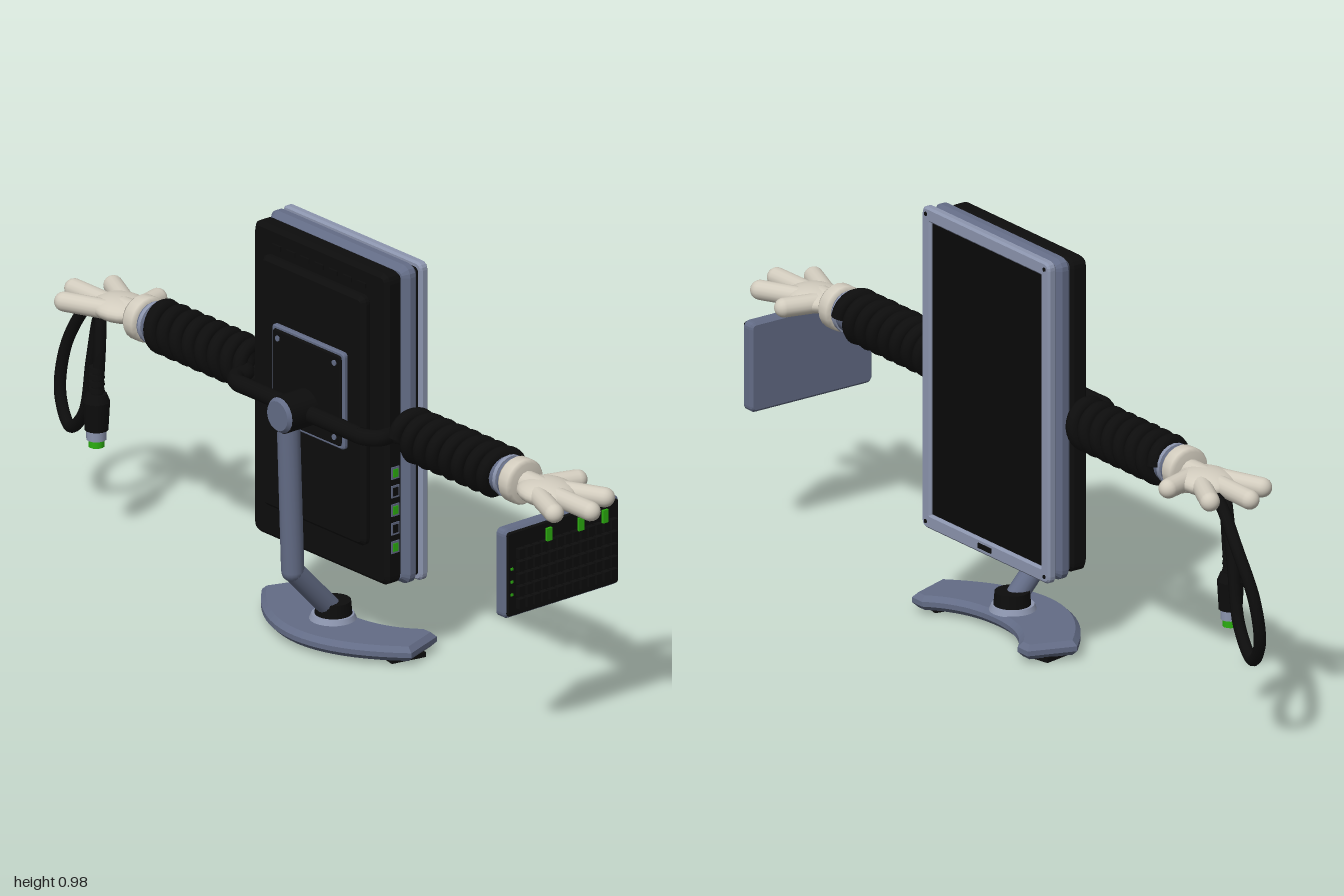
import * as THREE from 'three';

const mat = (name, color) => Object.assign(new THREE.MeshStandardMaterial({ color }), { name });
const V = (x, y, z) => new THREE.Vector3(x, y, z);

export function createModel() {
  const black = mat('black plastic', 0x0d0d0d);
  const screenBlack = mat('screen black', 0x090909);
  const grey = mat('blue grey', 0x636c86);
  const light = mat('light blue grey', 0x8c95ae);
  const white = mat('glove white', 0xd2ccbe);
  const green = mat('green', 0x2cb010);

  const root = new THREE.Group();
  root.name = 'monitorWithArms';
  const centre = new THREE.Group();
  centre.name = 'monitorStandAndArms';
  centre.position.x = 0.055;
  root.add(centre);

  const add = (parent, name, geo, material, x = 0, y = 0, z = 0) => {
    const m = new THREE.Mesh(geo, material);
    m.name = name;
    m.position.set(x, y, z);
    parent.add(m);
    return m;
  };
  const box = (w, h, d) => new THREE.BoxGeometry(w, h, d);
  const rounded = (w, h, r, P = THREE.Shape) => {
    const s = new P(), a = w / 2, b = h / 2;
    s.moveTo(-a + r, -b).lineTo(a - r, -b).quadraticCurveTo(a, -b, a, -b + r);
    s.lineTo(a, b - r).quadraticCurveTo(a, b, a - r, b);
    s.lineTo(-a + r, b).quadraticCurveTo(-a, b, -a, b - r);
    s.lineTo(-a, -b + r).quadraticCurveTo(-a, -b, -a + r, -b);
    return s;
  };
  // rounded plate in the xy plane between z0 and z1, with chamfered rims
  const slab = (w, h, r, z0, z1, b, hole) => {
    const s = rounded(w - 2 * b, h - 2 * b, r);
    if (hole) s.holes.push(rounded(hole[0], hole[1], 0.004, THREE.Path));
    return new THREE.ExtrudeGeometry(s, {
      depth: z1 - z0 - 2 * b, bevelEnabled: b > 0, bevelSize: b, bevelThickness: b,
      bevelSegments: 1, curveSegments: 4,
    }).translate(0, 0, z0 + b);
  };
  // capsule or cylinder running from a to b
  const limb = (parent, name, a, b, r, material, capped = true) => {
    const len = a.distanceTo(b);
    const geo = capped ? new THREE.CapsuleGeometry(r, len, 6, 16) : new THREE.CylinderGeometry(r, r, len, 20);
    const m = add(parent, name, geo, material);
    m.position.copy(a).lerp(b, 0.5);
    m.quaternion.setFromUnitVectors(V(0, 1, 0), b.clone().sub(a).normalize());
    return m;
  };
  const tube = (pts, r, n = 60) =>
    new THREE.TubeGeometry(new THREE.CatmullRomCurve3(pts), n, r, 10);

  // Monitor housing; the screen looks towards -z
  const monitor = new THREE.Group();
  monitor.name = 'monitor';
  monitor.position.y = 0.588;
  centre.add(monitor);
  add(monitor, 'backShell', slab(0.475, 0.772, 0.014, -0.01, 0.04, 0.01), black);
  add(monitor, 'middleRim', slab(0.492, 0.79, 0.014, -0.054, -0.01, 0.014), grey);
  add(monitor, 'rimGap', slab(0.47, 0.765, 0.014, -0.06, -0.052, 0), black);
  add(monitor, 'screenBezel', slab(0.492, 0.79, 0.014, -0.08, -0.057, 0.005, [0.436, 0.728]), light);
  add(monitor, 'screen', box(0.45, 0.74, 0.008), screenBlack, 0, 0, -0.068);
  add(monitor, 'bezelBadge', box(0.05, 0.012, 0.004), black, 0, -0.376, -0.081);
  for (const sx of [-1, 1]) for (const sy of [-1, 1]) {
    const s = add(monitor, 'bezelScrew', new THREE.CylinderGeometry(0.005, 0.005, 0.004, 10), black, sx * 0.229, sy * 0.378, -0.08);
    s.rotation.x = Math.PI / 2;
  }
  add(monitor, 'raisedBack', slab(0.365, 0.62, 0.01, 0.035, 0.065, 0.01), black, 0, 0.012, 0);
  for (let i = 0; i < 7; i++)
    add(monitor, 'ventRib', box(0.03, 0.012, 0.006), black, -0.15 + i * 0.05, 0.342, 0.041);

  // Mounting plate with its pale border and screws
  add(monitor, 'mountBorder', slab(0.256, 0.24, 0.008, 0.06, 0.076, 0.003), grey, 0, 0.05, 0);
  add(monitor, 'mountPlate', slab(0.24, 0.224, 0.006, 0.07, 0.081, 0.003), black, 0, 0.05, 0);
  for (const sx of [-1, 1]) for (const sy of [-1, 1]) {
    const s = add(monitor, 'mountScrew', new THREE.CylinderGeometry(0.007, 0.007, 0.006, 10), grey, sx * 0.1, 0.05 + sy * 0.092, 0.081);
    s.rotation.x = Math.PI / 2;
  }

  // Side sockets
  for (let i = 0; i < 5; i++) {
    const y = -0.29 + i * 0.046;
    add(monitor, 'socketFrame', box(0.008, 0.03, 0.024), grey, 0.236, y, 0.016);
    add(monitor, 'socket', box(0.006, 0.02, 0.014), i % 2 ? black : green, 0.239, y, 0.016);
  }

  // Pivot and stand column
  const hub = add(centre, 'pivotHub', new THREE.CylinderGeometry(0.045, 0.045, 0.08, 20), black, 0, 0.59, 0.12);
  hub.rotation.x = Math.PI / 2;
  const cap = add(centre, 'pivotCap', new THREE.CylinderGeometry(0.036, 0.044, 0.01, 20), grey, 0, 0.59, 0.164);
  cap.rotation.x = Math.PI / 2;
  const bend = V(0, 0.195, 0.122);
  limb(centre, 'upperColumn', V(0, 0.56, 0.135), bend, 0.027, grey);
  limb(centre, 'lowerColumn', bend, V(0, 0.065, 0.0), 0.026, grey);
  add(centre, 'baseCollar', new THREE.CylinderGeometry(0.041, 0.044, 0.034, 24), black, 0, 0.073, -0.002);
  add(centre, 'baseRing', new THREE.CylinderGeometry(0.05, 0.056, 0.014, 24), light, 0, 0.051, 0);

  // Crescent base; its plan is drawn as (x, -z) and laid flat
  const plan = new THREE.Shape();
  plan.moveTo(-0.215, 0.112).lineTo(-0.25, 0.015);
  plan.quadraticCurveTo(-0.13, -0.108, 0, -0.109).quadraticCurveTo(0.13, -0.108, 0.25, 0.015);
  plan.lineTo(0.215, 0.112).lineTo(0.19, 0.112);
  plan.quadraticCurveTo(0.12, 0.04, 0, 0.04).quadraticCurveTo(-0.12, 0.04, -0.19, 0.112);
  add(centre, 'base', new THREE.ExtrudeGeometry(plan, {
    depth: 0.012, bevelSize: 0.012, bevelThickness: 0.012, bevelSegments: 1, curveSegments: 10,
  }).rotateX(-Math.PI / 2), grey, 0, 0.022, 0);
  for (const s of [-1, 1]) {
    const foot = add(centre, 'baseFoot', box(0.06, 0.012, 0.09), black, s * 0.2, 0.006, -0.04);
    foot.rotation.y = -s * 0.2;
  }

  // Arms: bar, bent lead, coil, cuff and gloved hand
  const Y = 0.588;
  limb(centre, 'shoulderBar', V(-0.21, Y, 0.1), V(0.21, Y, 0.1), 0.02, black, false);
  for (const s of [1, -1]) {
    const arm = new THREE.Group();
    arm.name = s > 0 ? 'leftArm' : 'rightArm';
    centre.add(arm);
    add(arm, 'shoulderLead', tube([V(s * 0.17, Y, 0.1), V(s * 0.225, Y, 0.098), V(s * 0.253, Y, 0.075),
      V(s * 0.258, Y, 0.04), V(s * 0.28, Y, 0.03)], 0.02, 24), black);
    const coil = [];
    for (let i = 0; i <= 7.5 * 12; i++) {
      const a = i / 12 * Math.PI * 2;
      coil.push(V(s * (0.275 + 0.335 * i / 90), Y + 0.048 * Math.sin(a), 0.048 * Math.cos(a)));
    }
    add(arm, 'coil', tube(coil, 0.0175, 240), black);
    limb(arm, 'wristBand', V(s * 0.605, Y, 0), V(s * 0.65, Y, 0), 0.047, grey, false);
    limb(arm, 'wristRing', V(s * 0.622, Y, 0), V(s * 0.632, Y, 0), 0.051, light, false);

    const hand = new THREE.Group();
    hand.name = 'glovedHand';
    arm.add(hand);
    const cuff = add(hand, 'gloveCuff', new THREE.LatheGeometry([[0, -0.024], [0.048, -0.024], [0.055, -0.014],
      [0.055, 0.014], [0.048, 0.024], [0, 0.024]].map(p => new THREE.Vector2(...p)), 20), white, s * 0.663, Y, 0);
    cuff.rotation.z = Math.PI / 2;
    limb(hand, 'gloveWrist', V(s * 0.68, Y, 0), V(s * 0.74, Y, 0), 0.03, white);
    const palm = add(hand, 'palm', new THREE.SphereGeometry(1, 20, 14), white, s * 0.752, Y - 0.001, -0.004);
    palm.scale.set(0.078, 0.03, 0.066);
    const fingers = [
      ['littleFinger', 0.76, 0.03, 0.865, 0.072],
      ['middleFinger', 0.77, 0.002, 0.912, 0.001],
      ['indexFinger', 0.765, -0.03, 0.868, -0.08],
      ['thumb', 0.72, -0.03, 0.742, -0.105],
    ];
    for (const [name, x0, z0, x1, z1] of fingers)
      limb(hand, name, V(s * x0, Y, z0), V(s * x1, Y - 0.001, z1), 0.0235, white);
  }

  // Keyboard hanging from the left hand, keys towards +x
  const keyboard = new THREE.Group();
  keyboard.name = 'keyboard';
  keyboard.position.set(0.852, 0.441, 0);
  root.add(keyboard);
  const across = g => g.rotateY(Math.PI / 2); // local z becomes x, local x becomes -z
  add(keyboard, 'keyboardBack', across(slab(0.35, 0.22, 0.01, -0.022, 0.012, 0.006)), grey);
  add(keyboard, 'keyboardDeck', across(slab(0.338, 0.208, 0.006, 0.008, 0.018, 0.003)), black);
  for (let r = 0; r < 5; r++) for (let c = 0; c < 13; c++)
    add(keyboard, 'key', box(0.014, 0.024, 0.018), black, 0.024, 0.05 - r * 0.031, 0.136 - c * 0.0235);
  for (const z of [0.054, -0.043, -0.117])
    add(keyboard, 'greenLabel', box(0.006, 0.032, 0.016), green, 0.029, 0.077, z);
  for (const y of [0.014, -0.018, -0.05])
    add(keyboard, 'indicator', box(0.005, 0.006, 0.006), green, 0.018, y, 0.158);

  // Cable looping under the right hand, ending in a plug
  add(root, 'cable', tube([V(-0.76, 0.57, -0.02), V(-0.83, 0.555, -0.05), V(-0.91, 0.5, -0.075), V(-0.97, 0.39, -0.07),
    V(-0.972, 0.28, -0.055), V(-0.915, 0.218, -0.035), V(-0.845, 0.28, -0.02), V(-0.81, 0.42, -0.012),
    V(-0.78, 0.53, -0.005), V(-0.757, 0.55, 0.008), V(-0.742, 0.48, 0.022), V(-0.743, 0.36, 0.03)], 0.0145, 120), black);
  const plug = new THREE.Group();
  plug.name = 'plug';
  plug.position.set(-0.745, 0, 0.03);
  root.add(plug);
  for (let i = 0; i < 4; i++)
    add(plug, 'strainRelief', new THREE.CylinderGeometry(0.018, 0.02, 0.01, 14), black, 0, 0.378 + i * 0.017, 0);
  add(plug, 'plugBody', new THREE.CylinderGeometry(0.024, 0.032, 0.02, 14), black, 0, 0.358, 0);
  add(plug, 'plugGrip', new THREE.CylinderGeometry(0.032, 0.028, 0.07, 14), black, 0, 0.314, 0);
  add(plug, 'plugCollar', new THREE.CylinderGeometry(0.024, 0.024, 0.026, 14), light, 0, 0.268, 0);
  add(plug, 'plugTip', new THREE.CylinderGeometry(0.019, 0.019, 0.026, 14), green, 0, 0.25, 0);

  return root;
}
